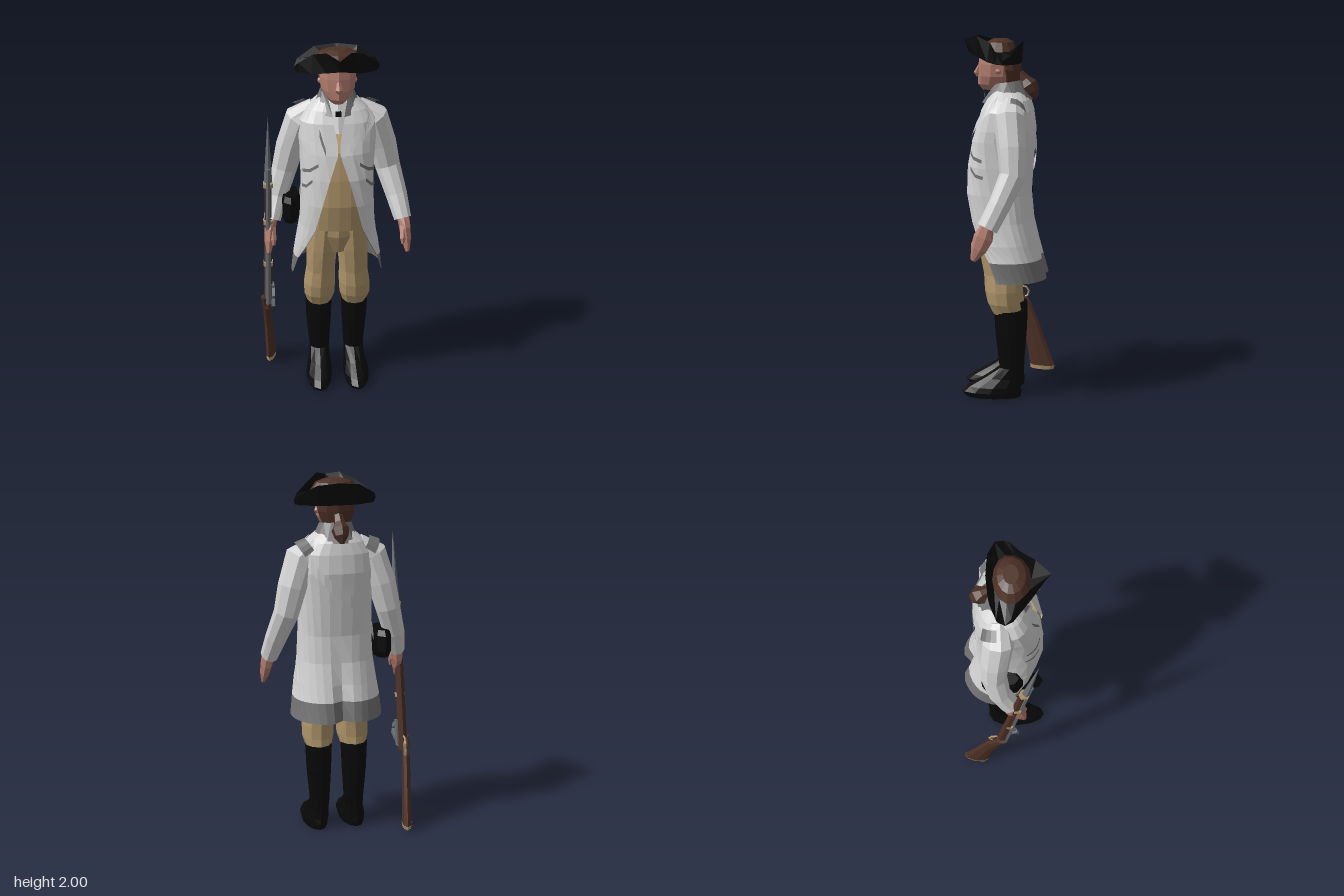
import * as THREE from 'three';

const V = (x, y, z) => new THREE.Vector3(x, y, z);
const RAD = Math.PI / 180;
const mat = (name, color) => new THREE.MeshStandardMaterial({ name, color, flatShading: true, side: THREE.DoubleSide });

// Skin over rings listed from top to bottom; closed rings can be capped
function skin(rings, closed = true, cap = true) {
  const pos = [], n = rings[0].length;
  const tri = (...p) => p.forEach(v => pos.push(v.x, v.y, v.z));
  for (let i = 0; i + 1 < rings.length; i++) {
    for (let j = 0; j < (closed ? n : n - 1); j++) {
      const k = (j + 1) % n, a = rings[i][j], b = rings[i][k], c = rings[i + 1][k], d = rings[i + 1][j];
      tri(a, d, c);
      tri(a, c, b);
    }
  }
  if (closed && cap) {
    [rings[0], rings[rings.length - 1]].forEach((r, e) => {
      const m = r.reduce((s, p) => s.add(p), V(0, 0, 0)).divideScalar(n);
      for (let j = 0; j < n; j++) e ? tri(m, r[(j + 1) % n], r[j]) : tri(m, r[j], r[(j + 1) % n]);
    });
  }
  const g = new THREE.BufferGeometry();
  g.setAttribute('position', new THREE.Float32BufferAttribute(pos, 3));
  g.computeVertexNormals();
  return g;
}

// Level elliptical rings: [x, y, z, rx, rz]
const loft = (rows, n = 10) => skin(rows.map(([x, y, z, rx, rz]) =>
  Array.from({ length: n }, (_, j) => {
    const t = j / n * 2 * Math.PI;
    return V(x + rx * Math.sin(t), y, z + rz * Math.cos(t));
  })));

// Rings square to a path: [x, y, z, r, flatten]
function limb(rows, n = 8) {
  const p = rows.map(r => V(r[0], r[1], r[2]));
  return skin(rows.map(([, , , r, f = 1], i) => {
    const T = p[Math.min(i + 1, p.length - 1)].clone().sub(p[Math.max(i - 1, 0)]).normalize();
    const X = V(0, 0, 1).cross(T).normalize(), Z = T.clone().cross(X);
    return Array.from({ length: n }, (_, j) => {
      const t = j / n * 2 * Math.PI;
      return p[i].clone().addScaledVector(X, r * f * Math.sin(t)).addScaledVector(Z, r * Math.cos(t));
    });
  }));
}

// Coat profile: y, half width, front z, back z, opening angle
const COAT = [
  [1.72, 0.09, 0.07, -0.09, 26], [1.66, 0.16, 0.11, -0.13, 12], [1.6, 0.205, 0.14, -0.147, 5],
  [1.5, 0.21, 0.17, -0.16, 1], [1.44, 0.205, 0.19, -0.155, 1], [1.3, 0.2, 0.215, -0.145, 12],
  [1.15, 0.2, 0.225, -0.135, 24], [1.0, 0.208, 0.205, -0.15, 35], [0.88, 0.228, 0.178, -0.18, 50],
  [0.79, 0.243, 0.13, -0.205, 63], [0.68, 0.255, 0.09, -0.235, 76]];

// Point on the coat at a height and angle (0 = front, 90 = left)
function coatPoint(y, deg, off = 0) {
  let i = 0;
  while (i < COAT.length - 2 && COAT[i + 1][0] > y) i++;
  const A = COAT[i], B = COAT[i + 1], k = (A[0] - y) / (A[0] - B[0]);
  const [w, f, b] = [1, 2, 3].map(q => A[q] + (B[q] - A[q]) * k);
  const s = Math.sin(deg * RAD), c = Math.cos(deg * RAD);
  const bend = (v, e) => Math.sign(v) * Math.abs(v) ** e;
  const x = (w + off) * bend(s, 0.85);
  let z = c > 0 ? (f + off) * bend(c, 0.64) : (off - b) * bend(c, 0.85);
  if (c < 0) z *= 1 - 0.25 * THREE.MathUtils.clamp((1.1 - y) / 0.4, 0, 1) * Math.exp(-((x / 0.04) ** 2));
  return V(x, y, z);
}
const coatSheet = (rows, off = 0, n = 22) => skin(rows.map(([y, , , , o]) =>
  Array.from({ length: n + 1 }, (_, j) => coatPoint(y, o + (360 - 2 * o) * j / n, off))), false);

// Strip lying on the coat along [y, angle] stops
function strip(stops, half, off) {
  const pts = [];
  stops.forEach(([y, a], i) => {
    const [y2, a2] = stops[Math.min(i + 1, stops.length - 1)];
    for (let k = 0; k < (i < stops.length - 1 ? 5 : 1); k++) pts.push([y + (y2 - y) * k / 5, a + (a2 - a) * k / 5]);
  });
  return skin([half, -half].map(h => pts.map(([y, a]) => coatPoint(y + h, a, off))), false);
}

export function createModel() {
  const white = mat('coat white', 0xd2d2d2), grey = mat('facing grey', 0x737373), tan = mat('buff', 0xae946a);
  const black = mat('black', 0x080808), brown = mat('brown', 0x4c3025), skinTone = mat('skin', 0xb27c6e);
  const steel = mat('steel', 0x6a6f74);
  const model = new THREE.Group();
  const body = new THREE.Group();
  body.name = 'soldier';
  body.position.x = 0.018;
  model.add(body);
  const add = (name, geo, m, parent = body, x = 0, y = 0, z = 0) => {
    const mesh = new THREE.Mesh(geo, m);
    mesh.name = name;
    mesh.position.set(x, y, z);
    parent.add(mesh);
    return mesh;
  };

  // Legs, boots, arms, hands and coat trim, mirrored; the right hand is held further back
  for (const side of [1, -1]) {
    const half = new THREE.Group();
    half.name = side > 0 ? 'leftLimbs' : 'rightLimbs';
    half.scale.x = side;
    body.add(half);
    const dz = side > 0 ? 0.01 : -0.025;
    add('breechesLeg', loft([[0.075, 1.0, 0.03, 0.085, 0.14], [0.085, 0.85, 0.02, 0.088, 0.13],
      [0.092, 0.7, 0.02, 0.082, 0.1], [0.098, 0.61, 0.018, 0.09, 0.097], [0.1, 0.54, 0.01, 0.088, 0.09],
      [0.1, 0.48, -0.01, 0.07, 0.08]]), tan, half);
    add('boot', loft([[0.102, 0.5, -0.02, 0.077, 0.084], [0.102, 0.36, -0.024, 0.071, 0.08],
      [0.099, 0.17, -0.028, 0.057, 0.062], [0.101, 0.11, 0.02, 0.06, 0.107], [0.105, 0.06, 0.065, 0.073, 0.152],
      [0.108, 0.03, 0.08, 0.073, 0.17], [0.108, 0, 0.07, 0.066, 0.155]], 12), black, half);
    add('sleeve', limb([[0.11, 1.635, -0.03, 0.06], [0.2, 1.575, -0.03, 0.085], [0.25, 1.42, -0.05, 0.08],
      [0.285, 1.28, -0.055, 0.07], [0.33, 1.13, dz, 0.06], [0.36, 1.01, 0.06 + dz, 0.057, 0.85]], 9), white, half);
    add('hand', limb([[0.362, 1.03, 0.055 + dz, 0.035], [0.372, 0.96, 0.08 + dz, 0.055, 0.6],
      [0.378, 0.9, 0.105 + dz, 0.045, 0.6], [0.382, 0.84, 0.135 + dz, 0.015, 0.8]], 7), skinTone, half);
    add('thumb', limb([[0.36, 0.98, 0.1 + dz, 0.02], [0.354, 0.92, 0.135 + dz, 0.016], [0.354, 0.89, 0.14 + dz, 0.008]], 5),
      skinTone, half);
    add('chestFlap', strip([[1.39, 28], [1.355, 45], [1.34, 66]], 0.009, 0.007), grey, half);
    add('pocketFlap', strip([[1.3, 40], [1.26, 55], [1.25, 70]], 0.009, 0.007), grey, half);
    add('shoulderFacing', skin([[0.135, 1.618, 0.078], [0.185, 1.585, 0.092]].map(([x, y, r]) =>
      [95, 115, 135, 155, 172].map(a => V(x + r * 0.55 * Math.sin(a * RAD), y + r * 0.83 * Math.sin(a * RAD),
        -0.03 + r * Math.cos(a * RAD)))), false), grey, half);
    add('ear', new THREE.IcosahedronGeometry(0.018, 0), skinTone, half, 0.09, 1.815, 0.04);
  }

  // Torso clothing
  add('breechesSeat', loft([[0, 1.06, 0.03, 0.16, 0.15], [0, 0.95, 0.02, 0.16, 0.155], [0, 0.84, 0.01, 0.1, 0.12]]), tan);
  add('waistcoat', skin([1.45, 1.38, 1.3, 1.15, 1.06, 1.0].map(y =>
    Array.from({ length: 24 }, (_, j) => coatPoint(y, j * 15, -0.01)))), tan);
  add('coat', coatSheet(COAT.slice(0, 10)), white);
  add('skirtLining', coatSheet(COAT.slice(7, 10), -0.006), grey);
  add('coatHem', coatSheet(COAT.slice(9)), grey);
  add('shoulderStrap', strip([[1.66, 80], [1.58, 45], [1.46, 3]], 0.03, 0.008), white);
  add('backStrap', strip([[1.66, 100], [1.55, 135], [1.35, 190], [1.12, 255]], 0.035, 0.01), white);
  add('chestSlit', strip([[1.56, -25], [1.46, -16]], 0.02, 0.006), grey);
  add('shirt', loft([[0, 1.73, 0.015, 0.062, 0.065], [0, 1.66, 0.025, 0.085, 0.085], [0, 1.55, 0.03, 0.12, 0.12]]), white);
  const ringArc = (y, w, d, z, o) => Array.from({ length: 11 }, (_, j) => {
    const t = (o + (360 - 2 * o) * j / 10) * RAD;
    return V(w * Math.sin(t), y + 0.02 * (1 - Math.cos(t)) / 2, z + d * Math.cos(t));
  });
  add('collar', skin([ringArc(1.745, 0.088, 0.08, 0, 40), ringArc(1.64, 0.135, 0.14, 0, 13)], false), grey);
  add('neckTie', new THREE.BoxGeometry(0.03, 0.025, 0.02), black, body, 0, 1.65, 0.115);
  add('pouch', loft([[-0.256, 1.155, -0.01, 0.045, 0.09], [-0.256, 1.125, -0.01, 0.055, 0.112],
    [-0.256, 1.035, -0.01, 0.055, 0.112], [-0.256, 1.0, -0.01, 0.044, 0.09]], 8), black);

  // Head and hair
  add('head', loft([[0, 1.895, 0.045, 0.095, 0.105], [0, 1.85, 0.045, 0.1, 0.112], [0, 1.785, 0.05, 0.093, 0.11],
    [0, 1.74, 0.065, 0.066, 0.095], [0, 1.71, 0.07, 0.04, 0.065]]), skinTone);
  add('neck', loft([[0, 1.78, 0.01, 0.06, 0.06], [0, 1.68, 0.01, 0.062, 0.06]], 8), skinTone);
  add('nose', limb([[0, 1.84, 0.15, 0.01], [0, 1.8, 0.165, 0.02], [0, 1.785, 0.155, 0.014]], 5), skinTone);
  add('hair', loft([[0, 1.9, -0.015, 0.105, 0.06], [0, 1.82, -0.02, 0.104, 0.056],
    [0, 1.76, -0.025, 0.08, 0.048], [0, 1.73, -0.03, 0.05, 0.03]]), brown);
  add('ponytail', limb([[0, 1.8, -0.065, 0.025], [0, 1.765, -0.095, 0.03], [0, 1.735, -0.115, 0.05],
    [0, 1.7, -0.14, 0.04], [0, 1.665, -0.155, 0.012]], 6), brown);

  // Three-cornered hat: fold and rim from front tip round to the back
  const round = pts => [...pts, ...pts.slice(1, -1).reverse().map(([x, y, z]) => [-x, y, z])].map(p => V(...p));
  const rim = round([[0, 1.98, 0.235], [0.065, 2.0, 0.158], [0.13, 1.97, 0.08], [0.205, 1.91, 0.035], [0.227, 1.88, 0.005],
    [0.208, 1.91, -0.04], [0.115, 1.965, -0.078], [0, 1.975, -0.088]]);
  const fold = round([[0, 1.915, 0.212], [0.065, 1.893, 0.16], [0.14, 1.868, 0.095], [0.2, 1.86, 0.045], [0.22, 1.858, 0.005],
    [0.2, 1.858, -0.035], [0.11, 1.856, -0.07], [0, 1.856, -0.08]]);
  const oval = (s, y) => fold.map((_, j) => {
    const t = j / fold.length * 2 * Math.PI, c = Math.cos(t);
    return V(0.132 * s * Math.sin(t), y, 0.033 + (c > 0 ? 0.105 : 0.088) * s * c);
  });
  add('hatBrim', skin([oval(1, 1.92), rim, fold, oval(0.7, 1.88)], true, false), black);
  add('hatCrown', skin([oval(0.4, 1.985), oval(0.75, 1.968), oval(1, 1.92)]), brown);

  // Musket, leaning forward at the top
  const gun = new THREE.Group();
  gun.name = 'musket';
  gun.position.set(-0.372, 0.47, -0.01);
  gun.rotation.set(0.148, 0, -0.014);
  model.add(gun);
  const rod = (r1, r2, h, n) => new THREE.CylinderGeometry(r1, r2, h, n);
  add('barrel', rod(0.013, 0.018, 0.9, 6), steel, gun, 0, 0.45, 0.017);
  add('foreStock', rod(0.021, 0.029, 0.84, 6), brown, gun, 0, 0.37, -0.01);
  for (const y of [0.27, 0.55, 0.79]) add('band', rod(0.03, 0.03, 0.025, 6), tan, gun, 0, y, -0.002);
  add('bayonet', new THREE.ConeGeometry(0.023, 0.41, 4), steel, gun, 0, 1.015, 0.004);
  add('lockPlate', new THREE.BoxGeometry(0.015, 0.15, 0.04), steel, gun, 0.026, 0.05, 0);
  add('hammer', new THREE.BoxGeometry(0.016, 0.03, 0.075), steel, gun, 0.028, 0.03, 0.05).rotation.x = -0.5;
  add('frizzen', new THREE.BoxGeometry(0.016, 0.025, 0.05), steel, gun, 0.028, 0.09, 0.04).rotation.x = 0.5;
  add('triggerGuard', new THREE.TorusGeometry(0.035, 0.006, 4, 8), tan, gun, 0, 0, -0.045).rotation.y = Math.PI / 2;

  // Butt, turned slightly towards the body
  const butt = new THREE.Group();
  butt.name = 'butt';
  butt.position.set(-0.382, 0, -0.06);
  butt.rotation.y = -0.2;
  model.add(butt);
  add('buttStock', loft([[0, 0.5, 0.05, 0.022, 0.03], [0, 0.41, 0, 0.022, 0.045],
    [0, 0.27, -0.05, 0.024, 0.05], [0, 0.035, -0.115, 0.028, 0.075]], 8), brown, butt);
  add('buttPlate', loft([[0, 0.035, -0.115, 0.029, 0.076], [0, 0.012, -0.112, 0.026, 0.07]], 8), tan, butt);
  return model;
}
